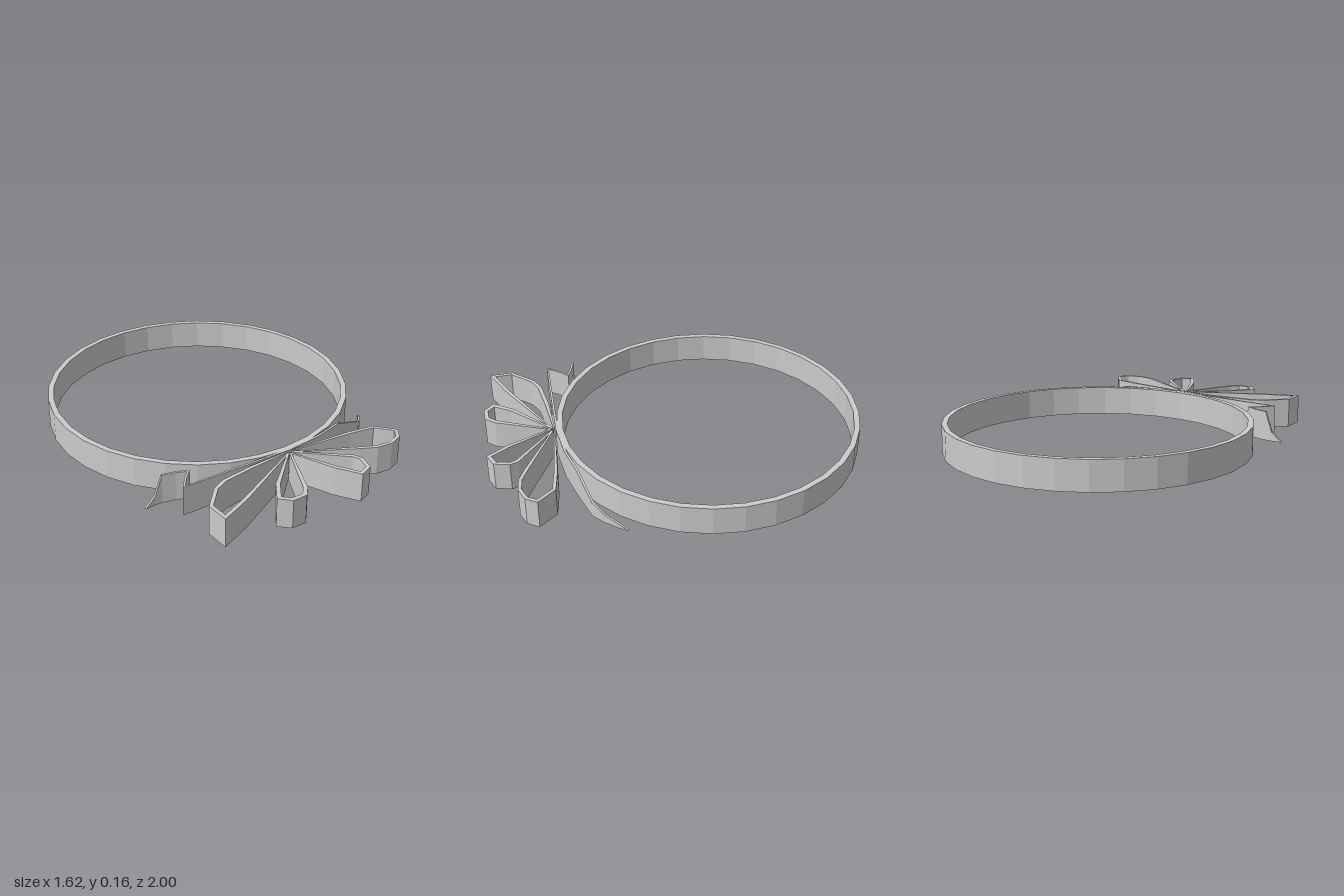
import * as THREE from 'three';

const HEIGHT = 0.157;
const material = new THREE.MeshStandardMaterial({
  color: 0xcccccc, flatShading: true, side: THREE.DoubleSide,
});

// Upright ribbon along [x, z, top] points, with thinner ends and mitred corners.
function ribbon(name, points, thickness, endThickness = thickness) {
  const last = points.length - 1;
  const path = points.map(([x, z]) => new THREE.Vector2(x, z));
  const heading = (i) => path[i + 1].clone().sub(path[i]).normalize();
  const sections = points.map(([x, z, top = HEIGHT], i) => {
    const before = heading(Math.max(i - 1, 0));
    const after = heading(Math.min(i, last - 1));
    const t = before.clone().add(after).normalize();
    const miter = 1 / Math.max(t.dot(after), 0.6);
    const half = (i === 0 || i === last ? endThickness : thickness) / 2 * miter;
    const nx = -t.y * half, nz = t.x * half;
    return [
      [x - nx, 0, z - nz], [x + nx, 0, z + nz],
      [x + nx, top, z + nz], [x - nx, top, z - nz],
    ];
  });

  const positions = [];
  const quad = (a, b, c, d) => positions.push(...a, ...b, ...c, ...a, ...c, ...d);
  for (let i = 0; i < last; i++) {
    const s = sections[i], e = sections[i + 1];
    for (let k = 0; k < 4; k++) quad(s[k], e[k], e[(k + 1) % 4], s[(k + 1) % 4]);
  }
  quad(...sections[0]);
  quad(...sections[last].slice().reverse());

  const geometry = new THREE.BufferGeometry();
  geometry.setAttribute('position', new THREE.Float32BufferAttribute(positions, 3));
  geometry.computeVertexNormals();
  const mesh = new THREE.Mesh(geometry, material);
  mesh.name = name;
  return mesh;
}

export function createModel() {
  const model = new THREE.Group();
  model.name = 'ribbonBand';

  // Faceted circular band
  const outer = 0.81, inner = 0.78;
  const profile = [[outer, 0], [outer, HEIGHT], [inner, HEIGHT], [inner, 0], [outer, 0]]
    .map(([r, y]) => new THREE.Vector2(r, y));
  const band = new THREE.Mesh(new THREE.LatheGeometry(profile, 32), material);
  band.name = 'band';
  band.position.z = -0.19;
  model.add(band);

  // Four bow loops fanning out from the knot
  const bow = new THREE.Group();
  bow.name = 'bow';
  bow.add(
    ribbon('outerRightLoop', [
      [-0.02, 0.635], [-0.25, 0.647], [-0.42, 0.668], [-0.49, 0.7], [-0.59, 0.805],
      [-0.587, 0.913], [-0.5, 0.878], [-0.42, 0.845], [-0.02, 0.645],
    ], 0.02, 0.008),
    ribbon('innerRightLoop', [
      [-0.02, 0.645], [-0.23, 0.835], [-0.295, 0.93], [-0.25, 0.975],
      [-0.18, 0.975], [-0.14, 0.93], [-0.015, 0.655],
    ], 0.022, 0.01),
    ribbon('innerLeftLoop', [
      [-0.01, 0.655], [0.09, 0.88], [0.158, 0.988], [0.22, 0.963],
      [0.24, 0.89], [0.225, 0.85], [0, 0.648],
    ], 0.02, 0.01),
    ribbon('outerLeftLoop', [
      [0, 0.645], [0.3, 0.81], [0.38, 0.85], [0.46, 0.86], [0.53, 0.835],
      [0.563, 0.785], [0.49, 0.695], [0.35, 0.67], [0, 0.635],
    ], 0.018, 0.008),
  );

  // Loose tails with slanted ends
  bow.add(
    ribbon('rightTail', [
      [0, 0.622], [-0.3, 0.613], [-0.605, 0.603], [-0.56, 0.545], [-0.515, 0.5],
      [-0.57, 0.475], [-0.64, 0.457], [-0.68, 0.455, 0.05], [-0.735, 0.46, 0.002],
    ], 0.012),
    ribbon('leftTail', [
      [0, 0.622], [0.2, 0.603], [0.36, 0.565], [0.54, 0.515, 0.085],
      [0.6, 0.465, 0.048], [0.645, 0.415, 0.03], [0.685, 0.363, 0.002],
    ], 0.012),
  );
  model.add(bow);
  return model;
}
